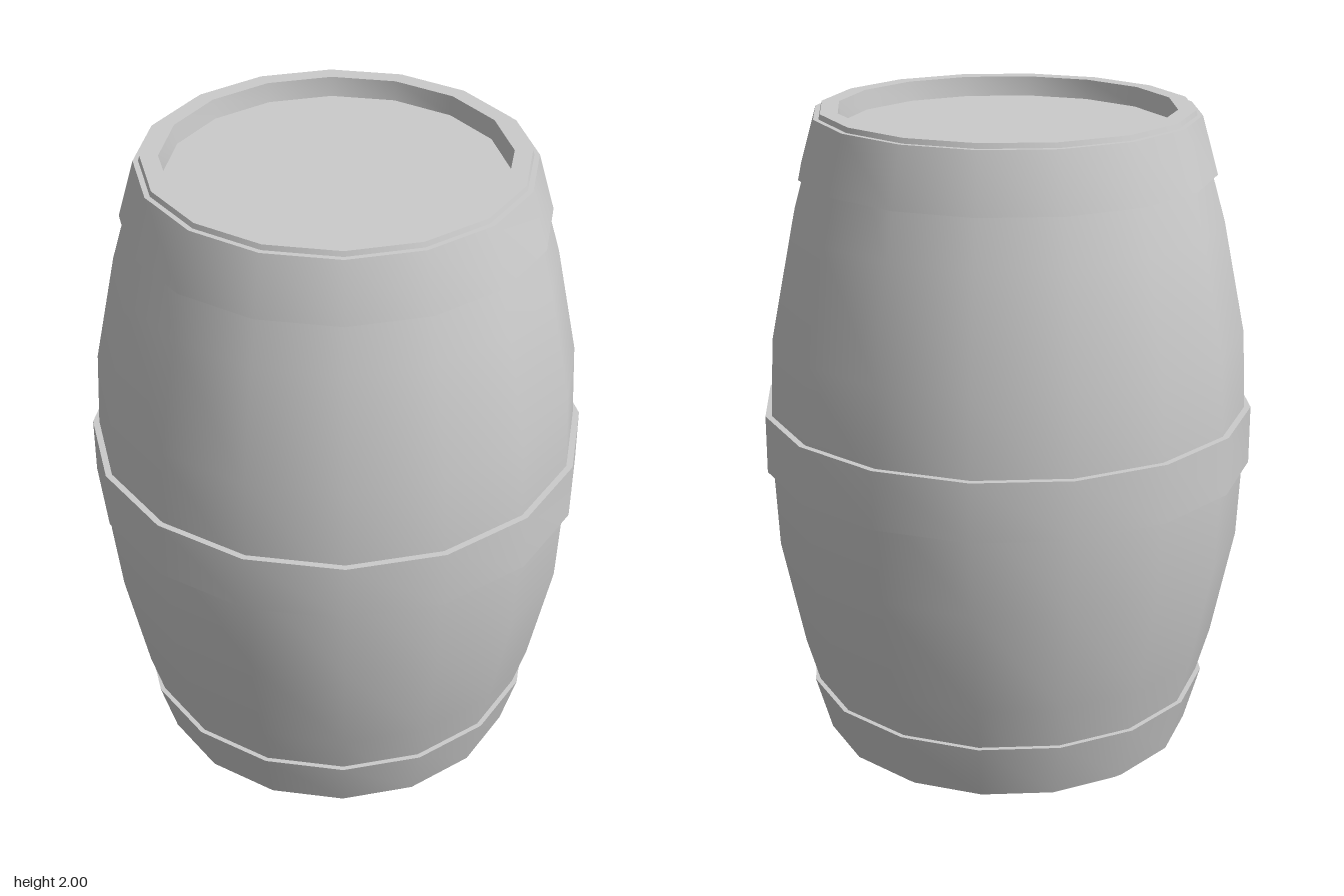
import * as THREE from 'three';
import { toCreasedNormals } from 'three/addons/utils/BufferGeometryUtils.js';

const SIDES = 16;
const material = new THREE.MeshStandardMaterial({ color: 0xcccccc });

// Turned part from a profile of [radius, y], listed bottom to top along the outside
function turned(name, profile) {
  const points = profile.map(([r, y]) => new THREE.Vector2(r, y));
  const geometry = toCreasedNormals(new THREE.LatheGeometry(points, SIDES), 0.6);
  const mesh = new THREE.Mesh(geometry, material);
  mesh.name = name;
  return mesh;
}

// Closed metal band; its inner wall is sunk into the staves
function hoop(name, y0, r0, y1, r1, thickness) {
  return turned(name, [
    [r0 - thickness, y0], [r0, y0], [r1, y1], [r1 - thickness, y1], [r0 - thickness, y0],
  ]);
}

export function createModel() {
  const barrel = new THREE.Group();
  barrel.name = 'barrel';

  // Bulging body with a raised rim around a recessed head at each end
  const lowerHalf = [
    [0, 0.06], [0.5, 0.06], [0.507, 0], [0.56, 0],
    [0.655, 0.33], [0.724, 0.67],
  ];
  const upperHalf = lowerHalf.map(([r, y]) => [r, 2 - y]).reverse();
  barrel.add(turned('body', [...lowerHalf, [0.74, 1], ...upperHalf]));

  // Bands at the bottom, middle and top
  barrel.add(hoop('bottomHoop', 0.015, 0.58, 0.19, 0.63, 0.04));
  barrel.add(hoop('middleHoop', 0.91, 0.755, 1.09, 0.755, 0.04));
  barrel.add(hoop('topHoop', 1.81, 0.63, 1.985, 0.58, 0.04));

  return barrel;
}
